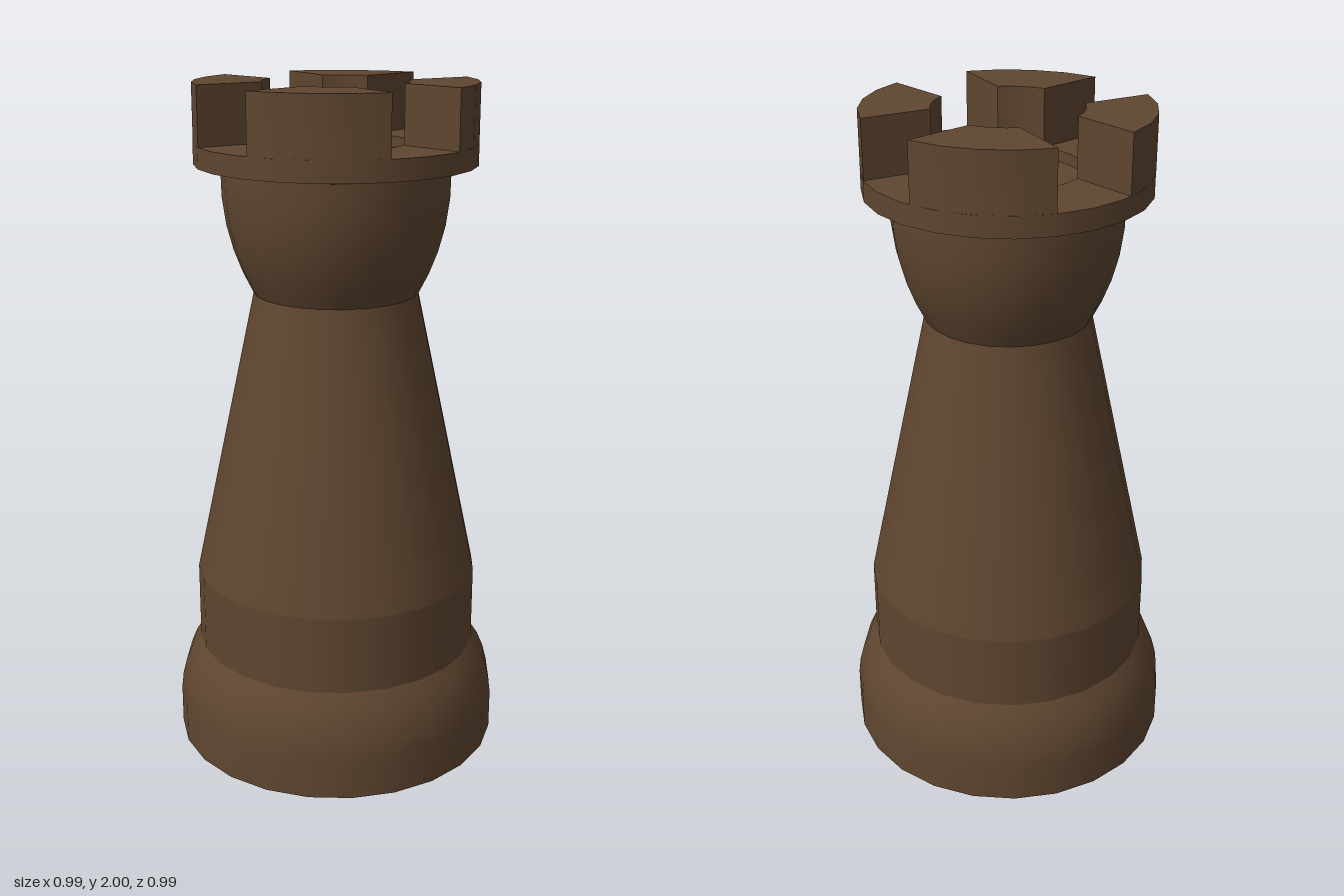
import * as THREE from 'three';
import { toCreasedNormals } from 'three/addons/utils/BufferGeometryUtils.js';

const SIDES = 24;
const TURN = -0.04; // slight twist of the turned sections

export function createModel() {
  const wood = new THREE.MeshStandardMaterial({ color: 0x5f4630 });
  wood.name = 'dark wood';
  const model = new THREE.Group();
  model.name = 'rook';

  // One smooth turned band; separate bands meet at sharp edges
  const band = (parent, name, points, sides = SIDES) => {
    const profile = points.map(([r, y]) => new THREE.Vector2(r, y));
    const mesh = new THREE.Mesh(new THREE.LatheGeometry(profile, sides), wood);
    mesh.name = name;
    mesh.rotation.y = TURN;
    parent.add(mesh);
  };

  // Foot
  band(model, 'footUnderside', [[0, 0], [0.493, 0]]);
  band(model, 'foot', [[0.493, 0], [0.493, 0.12], [0.487, 0.17], [0.474, 0.22], [0.455, 0.265], [0.427, 0.308]]);

  // Body
  band(model, 'lowerBody', [[0.427, 0.308], [0.427, 0.54]]);
  band(model, 'taperedBody', [[0.427, 0.54], [0.242, 1.4]]);

  // Rounded cup under the crown
  band(model, 'cup', [[0.242, 1.4], [0.272, 1.46], [0.297, 1.525], [0.317, 1.6], [0.328, 1.68], [0.33, 1.765]]);

  // Crown ring with a shallow well in its middle
  const crown = new THREE.Group();
  crown.name = 'crown';
  model.add(crown);
  band(crown, 'crownUnderside', [[0.33, 1.76], [0.406, 1.772]]);
  band(crown, 'crownRim', [[0.406, 1.772], [0.406, 1.832]]);
  band(crown, 'slotFloor', [[0.406, 1.832], [0.21, 1.832]]);
  band(crown, 'wellWall', [[0.21, 1.832], [0.21, 1.8]], 32);
  band(crown, 'wellFloor', [[0.21, 1.8], [0, 1.8]], 32);

  // Four battlements, with slots that widen outwards
  const shape = new THREE.Shape();
  const arc = (radius, from, to, steps, begin) => {
    for (let i = 0; i <= steps; i++) {
      const a = THREE.MathUtils.degToRad(from + (to - from) * i / steps);
      const x = radius * Math.cos(a), y = radius * Math.sin(a);
      if (begin && i === 0) shape.moveTo(x, y);
      else shape.lineTo(x, y);
    }
  };
  arc(0.405, 17, 73, 4, true);
  arc(0.21, 63.5, 26.5, 4, false);
  shape.closePath();
  const block = new THREE.ExtrudeGeometry(shape, { depth: 0.168, bevelEnabled: false });
  block.rotateX(-Math.PI / 2);
  const merlon = toCreasedNormals(block, 0.5);
  for (let i = 0; i < 4; i++) {
    const mesh = new THREE.Mesh(merlon, wood);
    mesh.name = 'battlement' + (i + 1);
    mesh.position.y = 1.832;
    mesh.rotation.y = i * Math.PI / 2;
    crown.add(mesh);
  }
  return model;
}
